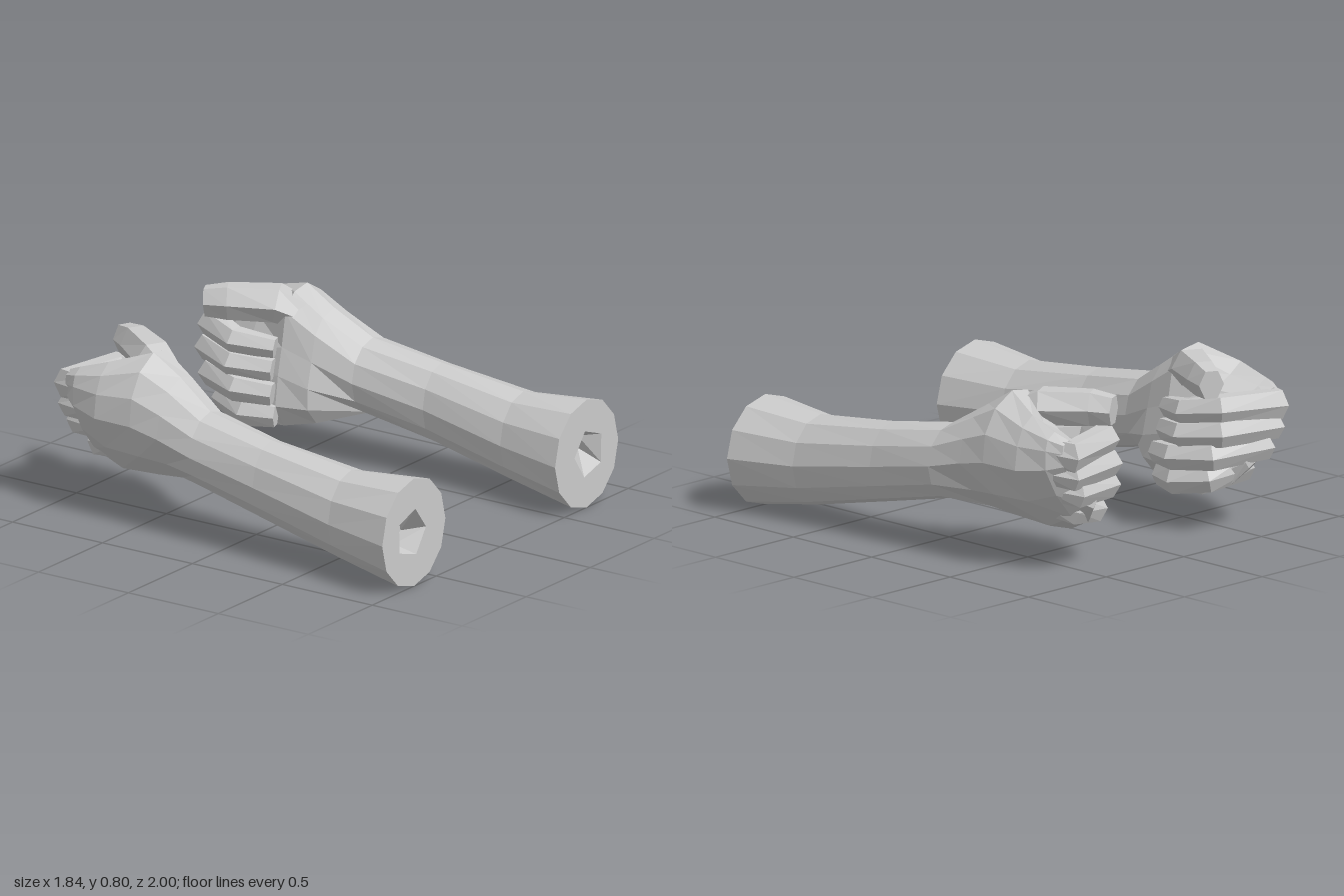
import * as THREE from 'three';

const material = new THREE.MeshStandardMaterial({ color: 0xcccccc, flatShading: true });

// Skin a list of rings (each counter-clockwise when looking along the path)
function loft(rings, capStart, capEnd) {
  const pos = [];
  const tri = (...pts) => pts.forEach(p => pos.push(p.x, p.y, p.z));
  const n = rings[0].length;
  const centre = r => r.reduce((c, p) => c.add(p), new THREE.Vector3()).divideScalar(n);
  for (let i = 0; i < rings.length - 1; i++) {
    for (let j = 0; j < n; j++) {
      const k = (j + 1) % n, a = rings[i], b = rings[i + 1];
      tri(a[j], b[j], a[k]);
      tri(a[k], b[j], b[k]);
    }
  }
  const first = rings[0], last = rings[rings.length - 1];
  for (let j = 0; j < n; j++) {
    const k = (j + 1) % n;
    if (capStart) tri(centre(first), first[j], first[k]);
    if (capEnd) tri(centre(last), last[k], last[j]);
  }
  const g = new THREE.BufferGeometry();
  g.setAttribute('position', new THREE.Float32BufferAttribute(pos, 3));
  g.computeVertexNormals();
  return g;
}

function ellipse(z, cx, cy, rx, ry, sides = 12, turn = 0) {
  return Array.from({ length: sides }, (_, i) => {
    const a = turn + (i / sides) * Math.PI * 2;
    return new THREE.Vector3(cx + rx * Math.cos(a), cy + ry * Math.sin(a), z);
  });
}

const outline = (z, pts) => pts.map(([x, y]) => new THREE.Vector3(x, y, z));

// Six-sided digit through joints [x, y, z, half width, half height]
function digit(joints) {
  const p = joints.map(j => new THREE.Vector3(j[0], j[1], j[2]));
  const up = new THREE.Vector3(0, 1, 0);
  const rings = p.map((c, i) => {
    const t = p[Math.min(i + 1, p.length - 1)].clone().sub(p[Math.max(i - 1, 0)]).normalize();
    const u = t.clone().cross(up).normalize();
    const v = u.clone().cross(t);
    const [w, h] = joints[i].slice(3);
    return Array.from({ length: 6 }, (_, k) => {
      const a = (k / 6) * Math.PI * 2;
      return c.clone().addScaledVector(u, w * Math.cos(a)).addScaledVector(v, h * Math.sin(a));
    });
  });
  return loft(rings, true, true);
}

// Mirror across x = 0 and restore the face direction
function mirrored(g) {
  const m = g.index ? g.toNonIndexed() : g.clone();
  const p = m.attributes.position;
  for (let i = 0; i < p.count; i += 3) {
    const [a, b, c] = [0, 1, 2].map(k => new THREE.Vector3().fromBufferAttribute(p, i + k));
    [a, c, b].forEach((v, k) => p.setXYZ(i + k, -v.x, v.y, v.z));
  }
  m.computeVertexNormals();
  return m;
}

function armParts() {
  const parts = {};

  // Forearm widening into the back of the hand and the palm
  const cuff = ellipse(1, 0.675, 0.263, 0.247, 0.258);
  parts.forearmAndPalm = loft([
    cuff,
    ellipse(0.65, 0.672, 0.28, 0.182, 0.212),
    ellipse(0.2, 0.665, 0.355, 0.147, 0.188),
    ellipse(-0.16, 0.635, 0.422, 0.165, 0.178),
    outline(-0.35, [[0.79, 0.47], [0.77, 0.58], [0.7, 0.67], [0.6, 0.715], [0.51, 0.69], [0.45, 0.62],
      [0.42, 0.5], [0.39, 0.38], [0.39, 0.28], [0.46, 0.2], [0.58, 0.23], [0.71, 0.33]]),
    outline(-0.5, [[0.79, 0.5], [0.775, 0.63], [0.71, 0.74], [0.6, 0.805], [0.5, 0.79], [0.43, 0.71],
      [0.4, 0.55], [0.37, 0.42], [0.35, 0.28], [0.42, 0.17], [0.56, 0.21], [0.72, 0.34]]),
    outline(-0.7, [[0.785, 0.5], [0.77, 0.61], [0.735, 0.69], [0.67, 0.74], [0.6, 0.69], [0.5, 0.64],
      [0.42, 0.5], [0.4, 0.4], [0.37, 0.27], [0.42, 0.16], [0.56, 0.2], [0.7, 0.34]]),
    outline(-0.85, [[0.74, 0.52], [0.74, 0.61], [0.725, 0.66], [0.68, 0.69], [0.63, 0.66], [0.55, 0.62],
      [0.48, 0.5], [0.46, 0.4], [0.44, 0.3], [0.46, 0.23], [0.57, 0.27], [0.67, 0.39]]),
    outline(-0.92, [[0.69, 0.54], [0.7, 0.6], [0.695, 0.64], [0.66, 0.66], [0.6, 0.64], [0.55, 0.6],
      [0.5, 0.5], [0.5, 0.42], [0.48, 0.34], [0.5, 0.31], [0.56, 0.34], [0.62, 0.44]]),
  ], false, true);

  // Flat cut end with a faceted socket
  const socket = ellipse(1, 0.695, 0.262, 0.115, 0.115, 5, 0.6);
  const face = new THREE.Shape(cuff.map(p => new THREE.Vector2(p.x, p.y)));
  face.holes.push(new THREE.Path(socket.map(p => new THREE.Vector2(p.x, p.y))));
  parts.cutEnd = new THREE.ShapeGeometry(face).translate(0, 0, 1);
  // Socket walls face inward; its floor faces the open end
  const floor = ellipse(0.88, 0.69, 0.262, 0.085, 0.085, 5, 1.0);
  parts.socket = loft([socket.reverse(), floor.reverse()], false, true);

  // Four curled fingers: root, knuckle, middle joint, end joint, tip
  const fingers = {
    indexFinger: [[0.685, 0.6, -0.78, 0.065, 0.07], [0.66, 0.585, -0.935, 0.068, 0.078],
      [0.37, 0.6, -0.86, 0.072, 0.072], [0.315, 0.57, -0.7, 0.065, 0.066], [0.38, 0.55, -0.52, 0.045, 0.05]],
    middleFinger: [[0.67, 0.5, -0.78, 0.065, 0.066], [0.645, 0.485, -0.925, 0.066, 0.066],
      [0.36, 0.49, -0.87, 0.072, 0.068], [0.3, 0.465, -0.7, 0.068, 0.066], [0.36, 0.45, -0.52, 0.045, 0.056]],
    ringFinger: [[0.625, 0.41, -0.75, 0.063, 0.066], [0.595, 0.395, -0.915, 0.064, 0.066],
      [0.34, 0.38, -0.84, 0.07, 0.068], [0.28, 0.36, -0.66, 0.066, 0.066], [0.33, 0.345, -0.5, 0.045, 0.056]],
    littleFinger: [[0.57, 0.32, -0.7, 0.06, 0.066], [0.54, 0.295, -0.84, 0.06, 0.07],
      [0.37, 0.265, -0.79, 0.066, 0.07], [0.31, 0.24, -0.64, 0.062, 0.07], [0.355, 0.235, -0.5, 0.045, 0.056]],
  };
  for (const [name, joints] of Object.entries(fingers)) parts[name] = digit(joints);

  // Thumb laid diagonally over the fist
  parts.thumb = digit([[0.55, 0.66, -0.42, 0.07, 0.07], [0.48, 0.725, -0.58, 0.1, 0.092],
    [0.36, 0.73, -0.77, 0.078, 0.09], [0.315, 0.725, -0.865, 0.06, 0.075]]);
  return parts;
}

export function createModel() {
  const model = new THREE.Group();
  const left = new THREE.Group(), right = new THREE.Group();
  left.name = 'leftArm';
  right.name = 'rightArm';
  for (const [name, geometry] of Object.entries(armParts())) {
    for (const [arm, g] of [[left, geometry], [right, mirrored(geometry)]]) {
      const mesh = new THREE.Mesh(g, material);
      mesh.name = name;
      arm.add(mesh);
    }
  }
  model.add(left, right);
  return model;
}
